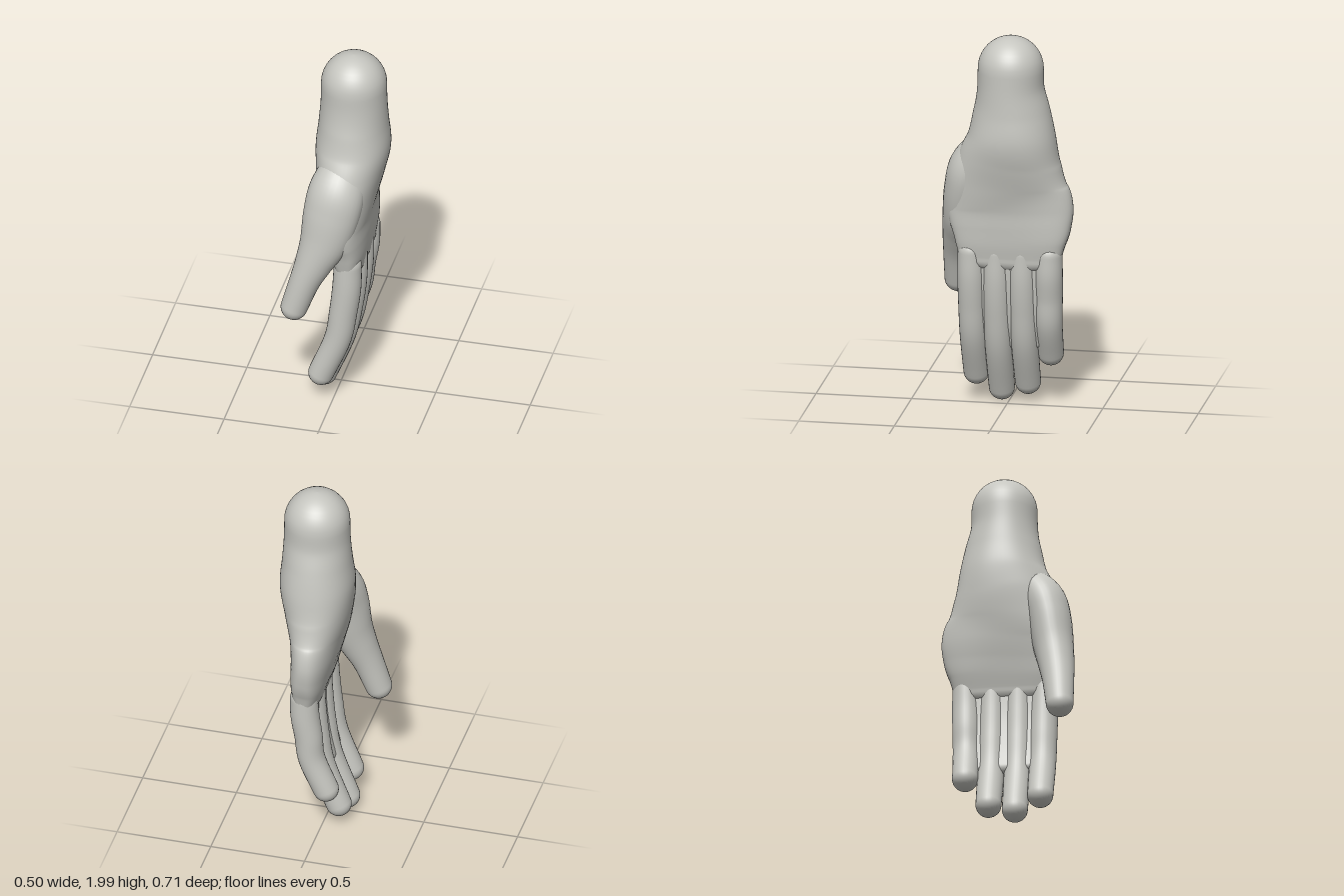
import * as THREE from 'three';

const skin = new THREE.MeshStandardMaterial({ color: 0xc6c6c0 });
skin.name = 'pale grey skin';

// Smooth sweep downwards through rows of [x, y, z, rx, rz, squareness], rounded at both ends.
function sweep(name, rows, steps = 40, sides = 32) {
  const curve = points => new THREE.CatmullRomCurve3(points, false, 'catmullrom', 0.5);
  const path = curve(rows.map(r => new THREE.Vector3(r[0], r[1], r[2])));
  const size = curve(rows.map(r => new THREE.Vector3(r[3], r[4] ?? r[3], r[5] ?? 2)));
  const pos = [], index = [];
  let rings = 0;

  const ring = (s, offset, scale) => {
    const t = path.getTangent(s);
    const u = new THREE.Vector3(0, 0, 1).cross(t).normalize();
    const w = t.clone().cross(u);
    const c = path.getPoint(s).addScaledVector(t, offset);
    const r = size.getPoint(s);
    const soft = v => Math.sign(v) * Math.abs(v) ** (2 / r.z);
    for (let j = 0; j < sides; j++) {
      const a = (j / sides) * Math.PI * 2;
      const p = c.clone()
        .addScaledVector(u, soft(Math.cos(a)) * r.x * scale)
        .addScaledVector(w, soft(Math.sin(a)) * r.y * scale);
      pos.push(p.x, p.y, p.z);
    }
    rings++;
  };
  const capSize = s => { const r = size.getPoint(s); return Math.min(r.x, r.y); };

  const capSteps = 10;
  for (let k = 0; k < capSteps; k++) {
    const a = (k / capSteps) * Math.PI / 2;
    ring(0, -Math.cos(a) * capSize(0), Math.max(Math.sin(a), 0.002));
  }
  for (let k = 0; k <= steps; k++) ring(k / steps, 0, 1);
  for (let k = 1; k <= capSteps; k++) {
    const a = (k / capSteps) * Math.PI / 2;
    ring(1, Math.sin(a) * capSize(1), Math.max(Math.cos(a), 0.002));
  }

  for (let i = 0; i < rings - 1; i++) {
    for (let j = 0; j < sides; j++) {
      const n = (j + 1) % sides;
      const a = i * sides + j, b = i * sides + n;
      index.push(a, b, a + sides, b, b + sides, a + sides);
    }
  }
  const geo = new THREE.BufferGeometry();
  geo.setAttribute('position', new THREE.Float32BufferAttribute(pos, 3));
  geo.setIndex(index);
  geo.computeVertexNormals();
  const mesh = new THREE.Mesh(geo, skin);
  mesh.name = name;
  return mesh;
}

export function createModel() {
  const hand = new THREE.Group();
  hand.name = 'hand';

  // Domed wrist widening into the flat palm, squarer towards the knuckles
  hand.add(sweep('wristAndPalm', [
    [0.06, 1.83, -0.03, 0.17, 0.17, 2],
    [0.06, 1.72, -0.03, 0.172, 0.174, 2],
    [0.058, 1.6, -0.035, 0.18, 0.2, 2],
    [0.056, 1.46, -0.035, 0.191, 0.23, 2.1],
    [0.048, 1.33, -0.022, 0.175, 0.27, 2.1],
    [0.045, 1.2, -0.015, 0.148, 0.308, 2.1],
    [0.048, 1.08, -0.026, 0.12, 0.328, 2.3],
    [0.058, 0.98, -0.03, 0.103, 0.314, 2.7],
    [0.066, 0.89, -0.029, 0.088, 0.286, 3.2],
    [0.072, 0.81, -0.029, 0.07, 0.264, 3.2],
  ], 70, 64));

  // Thumb growing out of a broad fleshy base
  hand.add(sweep('thumb', [
    [0.045, 1.4, 0.09, 0.115, 0.1],
    [0.02, 1.29, 0.175, 0.145, 0.118],
    [0.0, 1.17, 0.212, 0.147, 0.114],
    [-0.03, 1.02, 0.235, 0.13, 0.106],
    [-0.08, 0.89, 0.257, 0.1, 0.094],
    [-0.128, 0.77, 0.274, 0.08, 0.082],
    [-0.18, 0.615, 0.288, 0.07, 0.071],
  ]));

  // Thin flesh joining the fingers side by side
  hand.add(sweep('fingerWeb', [
    [0.075, 0.86, -0.028, 0.056, 0.215, 3],
    [0.064, 0.65, -0.028, 0.05, 0.205, 3],
    [0.038, 0.47, -0.028, 0.046, 0.198, 3],
    [0.008, 0.35, -0.028, 0.04, 0.185, 3],
  ], 32, 40));

  // Four gently curled fingers: knuckle z, tip z, tip x, tip y
  const fingers = [
    ['indexFinger', 0.174, 0.172, -0.065, 0.155],
    ['middleFinger', 0.042, 0.042, -0.08, 0.073],
    ['ringFinger', -0.094, -0.096, -0.072, 0.112],
    ['littleFinger', -0.232, -0.222, -0.038, 0.282],
  ];
  const knuckleY = 0.84;
  for (const [name, z0, z1, tipX, tipY] of fingers) {
    // Fraction of the length, x, rx, rz
    const bends = [
      [0, 0.076, 0.072, 0.07],
      [0.2, 0.071, 0.075, 0.073],
      [0.42, 0.053, 0.073, 0.072],
      [0.68, 0.022 + (tipX + 0.065) * 0.5, 0.07, 0.07],
      [1, tipX, 0.067, 0.067],
    ];
    hand.add(sweep(name, bends.map(([f, x, rx, rz]) =>
      [x, knuckleY + (tipY - knuckleY) * f, z0 + (z1 - z0) * f, rx, rz]), 32, 28));
  }
  return hand;
}
